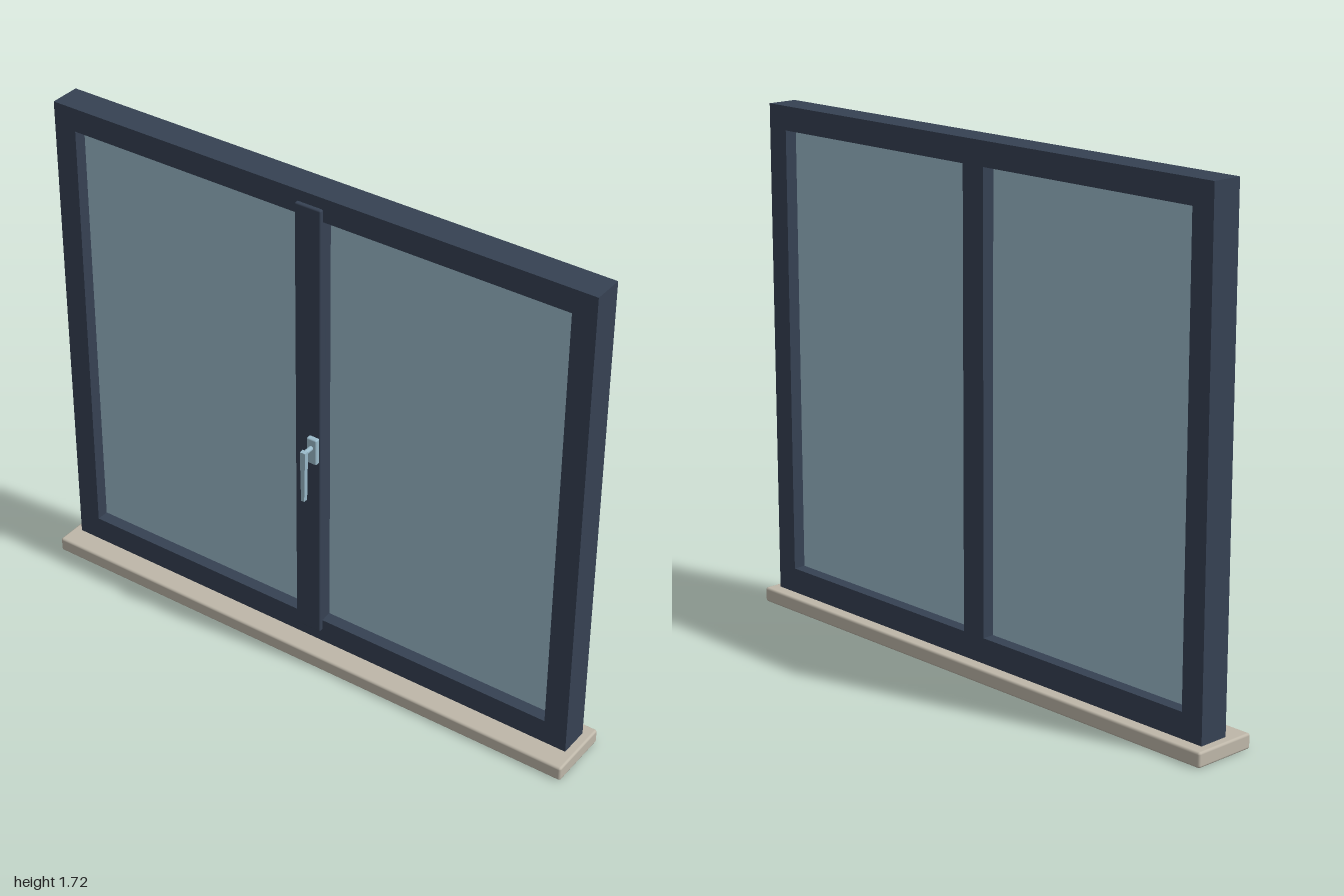
import * as THREE from 'three';
import { RoundedBoxGeometry } from 'three/addons/geometries/RoundedBoxGeometry.js';

const mat = (name, color) => {
  const m = new THREE.MeshStandardMaterial({ color });
  m.name = name;
  return m;
};

export function createModel() {
  const slate = mat('slate frame', 0x364153);
  const pale = mat('pale blue glass', 0x9abaca);
  const stone = mat('stone sill', 0xbeb7a9);
  const model = new THREE.Group();
  model.name = 'window';

  const add = (name, geometry, material, x, y, z, parent = model) => {
    const mesh = new THREE.Mesh(geometry, material);
    mesh.name = name;
    mesh.position.set(x, y, z);
    parent.add(mesh);
    return mesh;
  };
  const rectangle = (Type, x0, y0, x1, y1) => {
    const r = new Type();
    r.moveTo(x0, y0);
    r.lineTo(x1, y0);
    r.lineTo(x1, y1);
    r.lineTo(x0, y1);
    r.closePath();
    return r;
  };

  // Sill with softened edges
  add('sill', new RoundedBoxGeometry(2, 0.05, 0.224, 2, 0.008), stone, 0, 0.025, 0);

  // Frame and centre post in one piece, with two openings
  const outline = rectangle(THREE.Shape, -0.97, 0.05, 0.97, 1.715);
  for (const [x0, x1] of [[-0.89, -0.045], [0.045, 0.89]]) {
    outline.holes.push(rectangle(THREE.Path, x0, 0.135, x1, 1.635));
  }
  add('frame', new THREE.ExtrudeGeometry(outline, { depth: 0.105, bevelEnabled: false }),
    slate, 0, 0, -0.07);

  // Cover strip over the centre post
  add('coverStrip', new RoundedBoxGeometry(0.094, 1.584, 0.03, 2, 0.005), slate, 0, 0.885, 0.033);

  // Panes
  for (const side of [-1, 1]) {
    add(side < 0 ? 'rightPane' : 'leftPane', new THREE.BoxGeometry(0.845, 1.5, 0.02),
      pale, side * 0.4675, 0.885, -0.018);
  }

  // Handle: backplate, neck and tapered hanging lever
  const handle = new THREE.Group();
  handle.name = 'handle';
  handle.position.set(0.025, 0, 0);
  model.add(handle);
  add('backplate', new RoundedBoxGeometry(0.038, 0.094, 0.02, 2, 0.005), pale, 0, 0.818, 0.055, handle);
  const neck = add('neck', new THREE.CylinderGeometry(0.008, 0.008, 0.045, 16), pale, 0, 0.832, 0.084, handle);
  neck.rotation.x = Math.PI / 2;
  const lever = new THREE.BoxGeometry(0.02, 0.185, 0.016);
  const p = lever.attributes.position;
  for (let i = 0; i < p.count; i++) if (p.getY(i) < 0) p.setX(i, p.getX(i) * 0.6);
  lever.computeVertexNormals();
  add('lever', lever, pale, 0, 0.747, 0.103, handle);

  return model;
}
